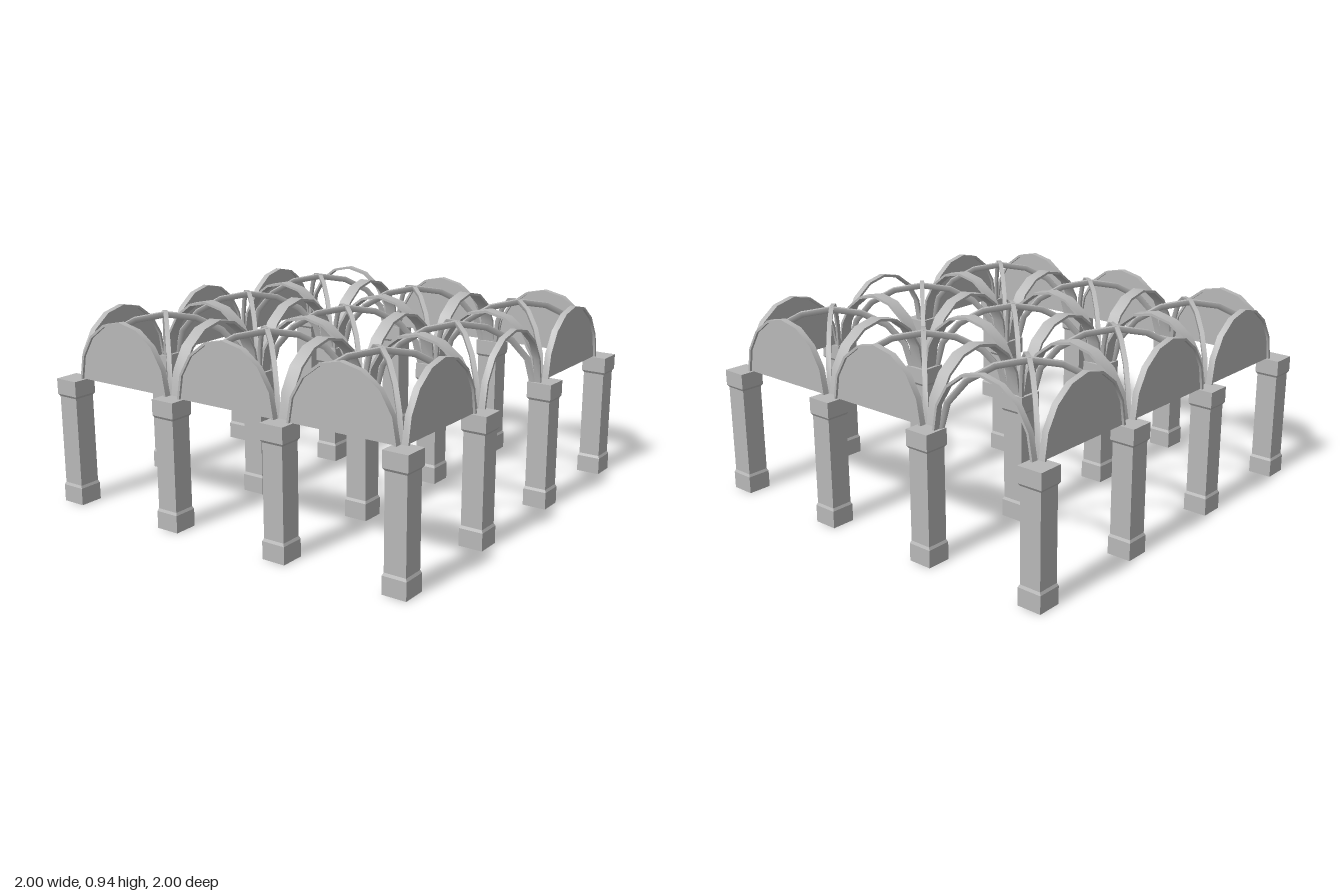
import * as THREE from 'three';
import { toCreasedNormals } from 'three/addons/utils/BufferGeometryUtils.js';

const PITCH = 0.626;              // column spacing
const EDGE = PITCH * 1.5;         // outer column line
const SPRING = 0.626;             // height where arches start
const HALF_SPAN = 0.278, RISE = 0.31, SEGMENTS = 8;

// Sweeps a section of [inward, sideways] points along a half ellipse
function archGeometry(a, b, section) {
  const pos = [], index = [], n = section.length;
  for (let i = 0; i <= SEGMENTS; i++) {
    const t = (Math.PI * i) / SEGMENTS;
    for (const [inward, side] of section) {
      pos.push(Math.cos(t) * (a - inward), Math.sin(t) * (b - inward), side);
    }
  }
  for (let i = 0; i < SEGMENTS; i++) {
    for (let j = 0; j < n; j++) {
      const p = i * n + j, q = i * n + ((j + 1) % n);
      index.push(p, q, p + n, q, q + n, p + n);
    }
  }
  const geo = new THREE.BufferGeometry();
  geo.setAttribute('position', new THREE.Float32BufferAttribute(pos, 3));
  geo.setIndex(index);
  return toCreasedNormals(geo, 0.7);
}

// Flat band section of a given width
const band = (w, t) => [[0, w / 2], [0, -w / 2], [t, -w / 2], [t, w / 2]];

// Square column: base, shaft and capital in one stepped profile
function columnGeometry() {
  const profile = [
    [0, 0], [0.06, 0], [0.06, 0.085], [0.054, 0.098],
    [0.054, 0.538], [0.062, 0.55], [0.062, SPRING], [0, SPRING],
  ].map(([half, y]) => new THREE.Vector2(half * Math.SQRT2, y));
  const geo = new THREE.LatheGeometry(profile, 4).rotateY(Math.PI / 4);
  return toCreasedNormals(geo, 0.1);
}

// Half-ellipse panel filling an outer arch
function lunetteGeometry() {
  const shape = new THREE.Shape();
  for (let i = 0; i <= SEGMENTS; i++) {
    const t = (Math.PI * i) / SEGMENTS;
    const x = Math.cos(t) * (HALF_SPAN - 0.004), y = Math.sin(t) * (RISE - 0.004);
    if (i === 0) shape.moveTo(x, y); else shape.lineTo(x, y);
  }
  shape.closePath();
  return new THREE.ExtrudeGeometry(shape, { depth: 0.008, bevelEnabled: false }).translate(0, 0, -0.004);
}

export function createModel() {
  const model = new THREE.Group();
  model.name = 'vaultedArcade';
  const stone = new THREE.MeshStandardMaterial({ color: 0xb8b8b8 });
  stone.name = 'grey stone';

  const column = columnGeometry();
  const wideArch = archGeometry(HALF_SPAN, RISE, band(0.065, 0.012));
  const edgeArch = archGeometry(HALF_SPAN, RISE, band(0.032, 0.012));
  const rib = archGeometry(HALF_SPAN * Math.SQRT2, RISE,
    [[0, 0.011], [0, -0.011], [0.016, -0.011], [0.03, 0], [0.016, 0.011]]);
  const lunette = lunetteGeometry();

  function add(name, geometry, x, y, z, turn = 0) {
    const mesh = new THREE.Mesh(geometry, stone);
    mesh.name = name;
    mesh.position.set(x, y, z);
    mesh.rotation.y = turn;
    model.add(mesh);
  }

  const lines = [0, 1, 2, 3].map((i) => -EDGE + i * PITCH);
  const bays = [-PITCH, 0, PITCH];

  // Columns
  for (const x of lines) for (const z of lines) add('column', column, x, 0, z);

  // Arches along both directions; outer ones are half width and set inward
  lines.forEach((line, i) => {
    const outer = i === 0 || i === 3;
    const at = outer ? line - Math.sign(line) * 0.016 : line;
    bays.forEach((mid, b) => {
      const geo = outer ? edgeArch : wideArch;
      const name = outer ? 'edgeArch' : 'innerArch';
      add(name, geo, mid, SPRING, at);
      add(name, geo, at, SPRING, mid, Math.PI / 2);
      if (!outer) return;
      // Wall panels, leaving one doorway open at the front and one on the left
      if (!(i === 3 && b === 1)) add('lunette', lunette, mid, SPRING, at);
      if (!(i === 3 && b === 0)) add('lunette', lunette, at, SPRING, mid, Math.PI / 2);
    });
  });

  // Crossing diagonal ribs over every bay
  for (const x of bays) {
    for (const z of bays) {
      for (const s of [-1, 1]) add('diagonalRib', rib, x, SPRING, z, (s * Math.PI) / 4);
    }
  }
  return model;
}
